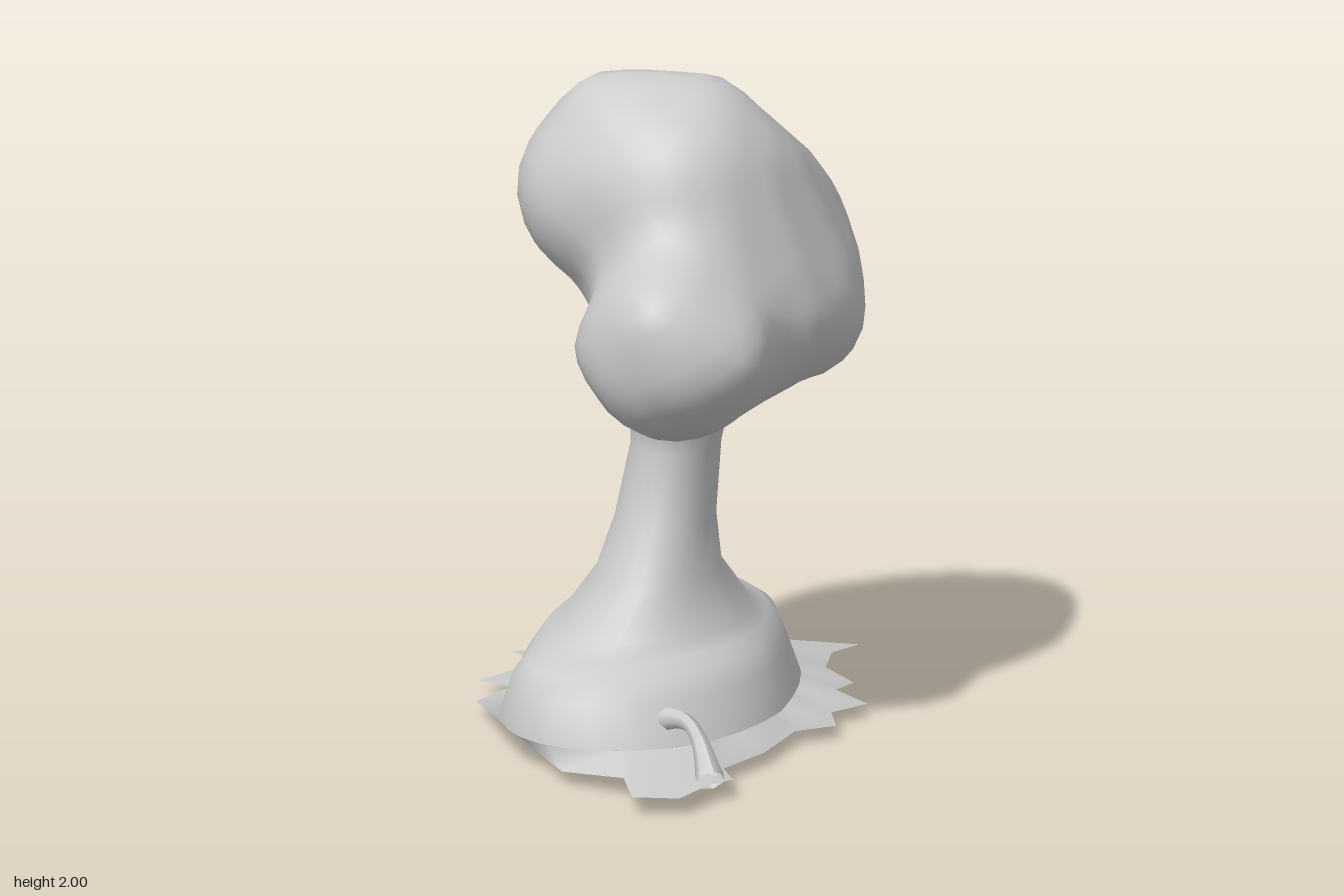
import * as THREE from 'three';
import { mergeVertices } from 'three/addons/utils/BufferGeometryUtils.js';

const stone = new THREE.MeshStandardMaterial({ color: 0xcccccc, side: THREE.DoubleSide });
stone.name = 'pale grey';

// Evenly spread directions, used to wrap hulls around groups of balls
const directions = Array.from({ length: 300 }, (_, i) => {
  const y = 1 - (2 * i + 1) / 300, r = Math.sqrt(1 - y * y), a = i * 2.399963;
  return new THREE.Vector3(r * Math.cos(a), y, r * Math.sin(a));
});

// Signed distance to the hull around balls [x, y, z, radius]
function hullDistance(balls) {
  const reach = directions.map((d) =>
    Math.max(...balls.map(([x, y, z, r]) => d.x * x + d.y * y + d.z * z + r)));
  return (p) => directions.reduce((far, d, i) => Math.max(far, d.dot(p) - reach[i]), -Infinity);
}

// Sphere pushed out from a centre until it meets two softly blended hulls
function blendedLobes(centre, ballsA, ballsB, softness) {
  const distA = hullDistance(ballsA), distB = hullDistance(ballsB);
  const distance = (p) => {
    const a = distA(p), b = distB(p);
    const h = Math.max(softness - Math.abs(a - b), 0) / softness;
    return Math.min(a, b) - h * h * softness * 0.25;
  };
  const sphere = new THREE.IcosahedronGeometry(1, 9);
  sphere.deleteAttribute('normal');
  sphere.deleteAttribute('uv');
  const geometry = mergeVertices(sphere, 1e-4);
  const pos = geometry.attributes.position;
  const ray = new THREE.Vector3(), p = new THREE.Vector3();
  for (let i = 0; i < pos.count; i++) {
    ray.fromBufferAttribute(pos, i).normalize();
    let near = 0, far = 1.2;
    for (let step = 0; step < 14; step++) {
      const mid = (near + far) / 2;
      if (distance(p.copy(centre).addScaledVector(ray, mid)) < 0) near = mid;
      else far = mid;
    }
    p.copy(centre).addScaledVector(ray, near);
    pos.setXYZ(i, p.x, p.y, p.z);
  }
  geometry.computeVertexNormals();
  return geometry;
}

// Skin over closed rings of [x, y, z] points, listed from the bottom up
function loft(rings) {
  const n = rings[0].length, index = [];
  for (let i = 0; i < rings.length - 1; i++) {
    for (let j = 0; j < n; j++) {
      const k = (j + 1) % n;
      const a = i * n + j, b = a + n, c = i * n + k, d = c + n;
      index.push(a, b, c, c, b, d);
    }
  }
  const geometry = new THREE.BufferGeometry();
  geometry.setAttribute('position', new THREE.Float32BufferAttribute(rings.flat(2), 3));
  geometry.setIndex(index);
  geometry.computeVertexNormals();
  return geometry;
}

// Oval ring from its bounds; squareness above 2 fills the corners, skew swings the front to the right
function oval([y, x0, x1, z0, z1, squareness = 2, skew = 0], angles) {
  const bend = (v) => Math.sign(v) * Math.abs(v) ** (2 / squareness);
  return angles.map((a) => {
    const x = (x0 + x1) / 2 + ((x1 - x0) / 2) * bend(Math.cos(a));
    const z = (z0 + z1) / 2 + ((z1 - z0) / 2) * bend(Math.sin(a));
    return [x - skew * Math.max(0, z - 0.1), y, z];
  });
}

// Bent limb that thins towards its middle
function limb(points, radius) {
  const curve = new THREE.CatmullRomCurve3(points.map((p) => new THREE.Vector3(...p)));
  const geometry = new THREE.TubeGeometry(curve, 12, radius, 7);
  const pos = geometry.attributes.position, v = new THREE.Vector3();
  for (let i = 0; i < pos.count; i++) {
    const t = Math.floor(i / 8) / 12;
    const centre = curve.getPointAt(t);
    v.fromBufferAttribute(pos, i).sub(centre).multiplyScalar(1 - 0.5 * Math.sin(Math.PI * t)).add(centre);
    pos.setXYZ(i, v.x, v.y, v.z);
  }
  geometry.computeVertexNormals();
  return geometry;
}

export function createModel() {
  const model = new THREE.Group();
  const add = (name, geometry) => {
    const mesh = new THREE.Mesh(geometry, stone);
    mesh.name = name;
    model.add(mesh);
  };

  // Large leaning crown flowing into the smaller lobe at the front
  const crownBalls = [
    [-0.15, 1.63, -0.04, 0.285], [0.05, 1.66, 0.04, 0.3], [-0.16, 1.85, 0, 0.14], [0.1, 1.81, -0.03, 0.18],
    [0.24, 1.66, -0.08, 0.18], [0.2, 1.36, -0.35, 0.31], [0.38, 1.25, -0.14, 0.2],
    [0.3, 1.3, 0.0, 0.22], [0.1, 1.35, -0.37, 0.29]];
  const lobeBalls = [
    [0.1, 1.26, 0.33, 0.28], [0.12, 1.25, 0.1, 0.27], [0.09, 1.37, 0.49, 0.15], [0.15, 1.24, 0.49, 0.15],
    [0.25, 1.27, 0.46, 0.14], [-0.07, 1.25, 0.34, 0.13], [0.1, 1.42, 0.28, 0.18], [0.05, 1.05, 0.24, 0.1]];
  add('crown', blendedLobes(new THREE.Vector3(0.08, 1.37, 0.02), crownBalls, lobeBalls, 0.16));

  // Trunk swelling into the mound: y, min x, max x, min z, max z, squareness, skew
  const mound = [0.09, -0.46, 0.38, -0.74, 0.61, 2.3, 0.1];
  const sections = [
    mound,
    [0.21, -0.41, 0.34, -0.69, 0.57, 2.3, 0.2],
    [0.27, -0.37, 0.31, -0.69, 0.51, 2.2, 0.25],
    [0.3, -0.34, 0.28, -0.65, 0.42, 2, 0.25],
    [0.34, -0.3, 0.25, -0.48, 0.33, 2, 0.2],
    [0.48, -0.2, 0.165, -0.33, 0.24],
    [0.65, -0.14, 0.155, -0.22, 0.18],
    [0.86, -0.1, 0.165, -0.22, 0.11],
    [0.97, -0.09, 0.195, -0.16, 0.17],
    [1.08, -0.1, 0.2, -0.14, 0.2],
  ];
  const even = Array.from({ length: 32 }, (_, i) => (i / 32) * Math.PI * 2);
  add('trunk', loft(sections.map((s) => oval(s, even))));

  // Ragged ground sheet meeting the foot of the mound: outline of x, z
  const outline = [
    [0.42, -0.97], [0.38, -0.73], [0.39, -0.57], [0.5, -0.42], [0.46, -0.33], [0.58, -0.2],
    [0.49, -0.09], [0.53, 0.05], [0.42, 0.13], [0.37, 0.38], [0.28, 0.57], [0.34, 0.73],
    [0.28, 0.8], [0.22, 0.96], [0.08, 0.97], [0.02, 0.77], [-0.18, 0.68], [-0.37, 0.33],
    [-0.56, -0.03], [-0.48, -0.2], [-0.59, -0.25], [-0.45, -0.49], [-0.55, -0.58],
    [-0.23, -0.68], [-0.32, -0.79], [-0.06, -0.77], [-0.11, -0.97], [0.06, -0.97], [0.24, -0.97]];
  const rim = outline.map(([x, z]) => [x, z < -0.9 ? 0 : z > 0.7 ? 0.055 : 0.04, z]);
  const angles = outline.map(([x, z]) => Math.atan2((z + 0.065) / 0.675, (x + 0.04) / 0.42));
  add('groundSheet', loft([rim, oval(mound, angles)]));

  // Side branch under the crown and the arched root at the front
  add('branch', limb([[0.03, 0.9, -0.12], [0.02, 0.92, -0.24], [0, 0.97, -0.38], [0, 1.03, -0.46], [0.01, 1.13, -0.5]], 0.06));
  add('frontRoot', limb([[0.06, 0.15, 0.46], [0.17, 0.18, 0.57], [0.23, 0.15, 0.67], [0.28, 0.06, 0.77]], 0.045));
  return model;
}
